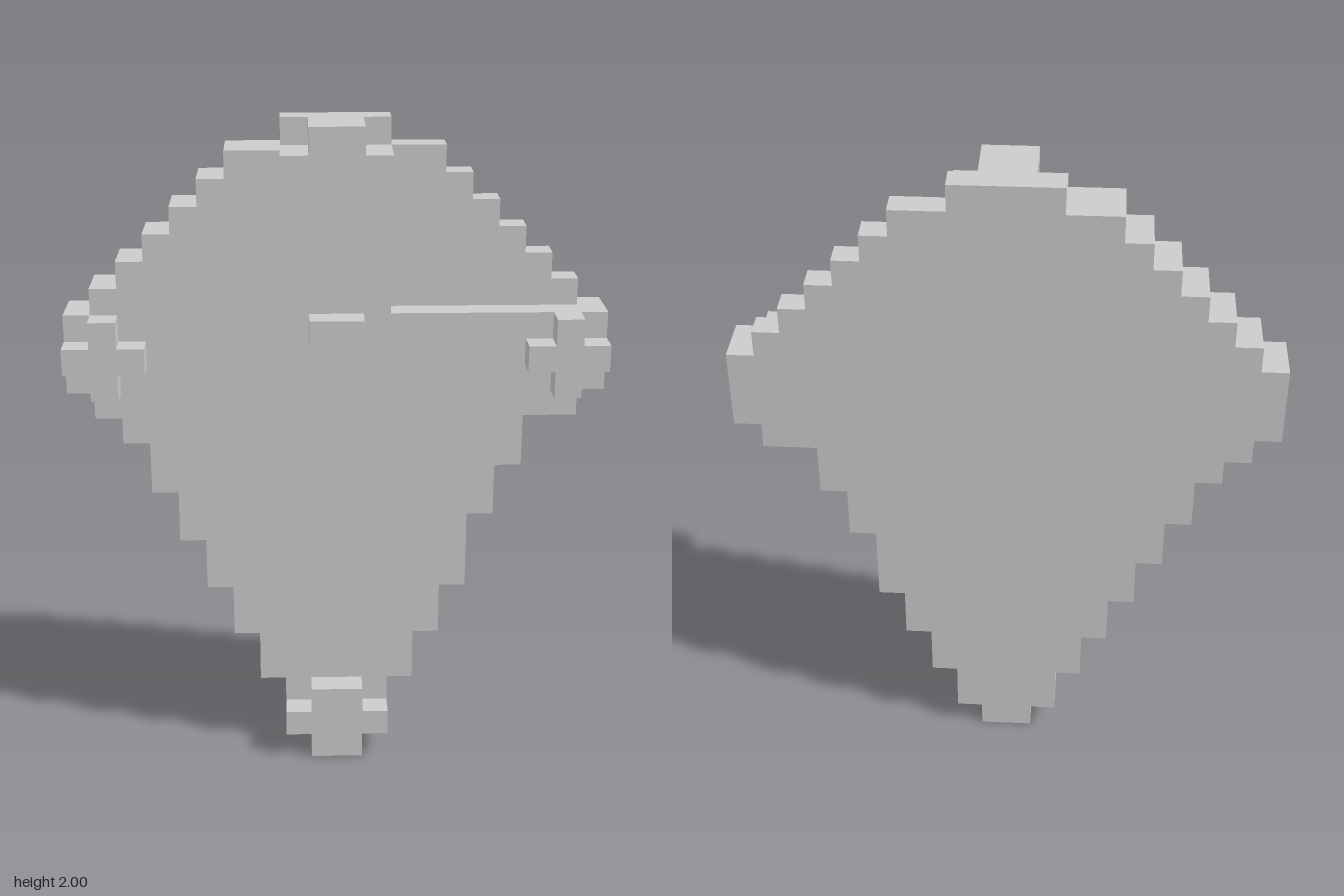
import * as THREE from 'three';

const U = 0.08; // size of one block
const material = new THREE.MeshStandardMaterial({ color: 0xcccccc, flatShading: true });

// Extrude a blocky outline (in block units) between two depths
function slab(name, points, z0, z1) {
  const shape = new THREE.Shape(points.map(([x, y]) => new THREE.Vector2(x * U, y * U)));
  const geometry = new THREE.ExtrudeGeometry(shape, { depth: (z1 - z0) * U, bevelEnabled: false });
  geometry.translate(0, 0, z0 * U);
  const mesh = new THREE.Mesh(geometry, material);
  mesh.name = name;
  return mesh;
}

// Turn [half width, top of step] pairs, listed upwards, into one stepped edge
function steps(list, side) {
  const points = [];
  let y = 0;
  for (const [w, top] of list) {
    points.push([side * w, y], [side * w, top]);
    y = top;
  }
  return points;
}

// Plus-shaped outline centred on (cx, cy); arms reach rx and ry, bars are hx and hy half wide
function cross(cx, cy, rx, ry, hx, hy) {
  return [
    [hx, -ry], [hx, -hy], [rx, -hy], [rx, hy], [hx, hy], [hx, ry],
    [-hx, ry], [-hx, hy], [-rx, hy], [-rx, -hy], [-hx, -hy], [-hx, -ry],
  ].map(([x, y]) => [cx + x, cy + y]);
}

export function createModel() {
  const group = new THREE.Group();
  group.name = 'kiteShield';

  // Stepped edges of the shield
  const tip = [[1, 1], [2, 3], [3, 5]];
  const top = [[9, 19], [8, 20], [7, 21], [6, 22], [5, 23], [4, 24]];
  const lowerLeft = [...tip, [4, 7], [5, 10], [6, 12], [7, 14], [9, 15], [10, 18]];
  const lowerRight = [...tip, [4, 7], [5, 9], [6, 11], [7, 13], [8, 14], [9, 15], [10, 18]];
  const rightEdge = steps([...lowerRight, ...top], -1).reverse();

  // Back layer: the full outline
  group.add(slab('backPlate',
    [...steps([...lowerLeft, ...top, [2, 25]], 1), [-2, 25], [-2, 24], ...rightEdge], -1.5, -0.5));

  // Front layer: the upper left quarter is left out as a recess
  group.add(slab('frontPlate',
    [...steps(lowerLeft, 1), [2, 18], [2, 24], [1, 24], [1, 25], [-1, 25], [-1, 24], ...rightEdge], -0.5, 0.5));

  // Raised crosses at the four corners
  group.add(slab('topCross', cross(0, 23.5, 2, 1.5, 1, 0.5), 0.5, 1.5));
  group.add(slab('bottomCross', cross(0, 1.5, 2, 1.5, 1, 0.5), 0.5, 1.5));
  for (const [name, side] of [['leftCross', 1], ['rightCross', -1]]) {
    group.add(slab(name, cross(side * 8.5, 16.5, 1.5, 1.5, 0.5, 0.5), 0.5, 1.5));
  }

  // Central boss
  const boss = new THREE.Mesh(new THREE.BoxGeometry(2 * U, 2 * U, U), material);
  boss.name = 'centreBoss';
  boss.position.set(0, 17 * U, U);
  group.add(boss);

  return group;
}
